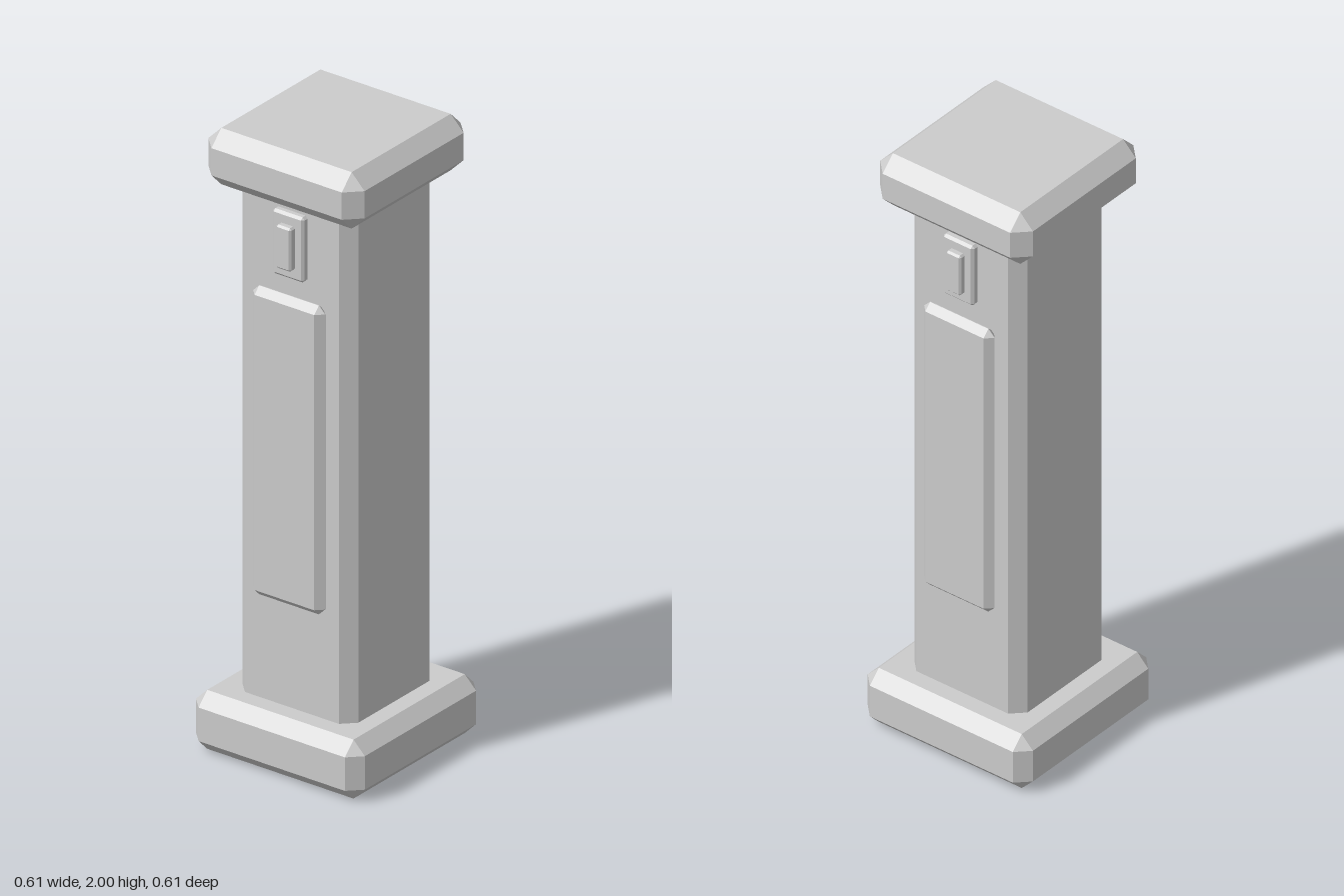
import * as THREE from 'three';
import { ConvexGeometry } from 'three/addons/geometries/ConvexGeometry.js';

const stone = new THREE.MeshStandardMaterial({ color: 0xcccccc });
stone.name = 'stoneGrey';

// Box with every edge cut by a flat bevel
function bevelBox(name, width, depth, bottom, top, bevel, z = 0) {
  const half = [width / 2, (top - bottom) / 2, depth / 2];
  const points = [];
  for (const sx of [-1, 1]) for (const sy of [-1, 1]) for (const sz of [-1, 1]) {
    const sign = [sx, sy, sz];
    for (let full = 0; full < 3; full++) {
      const p = half.map((h, axis) => sign[axis] * (axis === full ? h : h - bevel));
      points.push(new THREE.Vector3(...p));
    }
  }
  const mesh = new THREE.Mesh(new ConvexGeometry(points), stone);
  mesh.name = name;
  mesh.position.set(0, (bottom + top) / 2, z);
  return mesh;
}

export function createModel() {
  const model = new THREE.Group();
  model.name = 'pillar';

  // Foot, shaft and cap; the shaft's ends are sunk into the other two
  model.add(bevelBox('base', 0.612, 0.612, 0, 0.19, 0.041));
  model.add(bevelBox('shaft', 0.42, 0.42, 0.08, 1.92, 0.04));
  model.add(bevelBox('cap', 0.566, 0.566, 1.818, 2, 0.047));

  // Raised panel and small plate, the same on front and back
  for (const side of ['front', 'back']) {
    const face = new THREE.Group();
    face.name = side + 'Face';
    face.add(bevelBox('panel', 0.26, 0.046, 0.53, 1.526, 0.022, 0.223));
    face.add(bevelBox('plate', 0.114, 0.036, 1.583, 1.793, 0.008, 0.214));
    face.add(bevelBox('plateButton', 0.054, 0.04, 1.618, 1.758, 0.006, 0.233));
    if (side === 'back') face.rotation.y = Math.PI;
    model.add(face);
  }
  return model;
}
